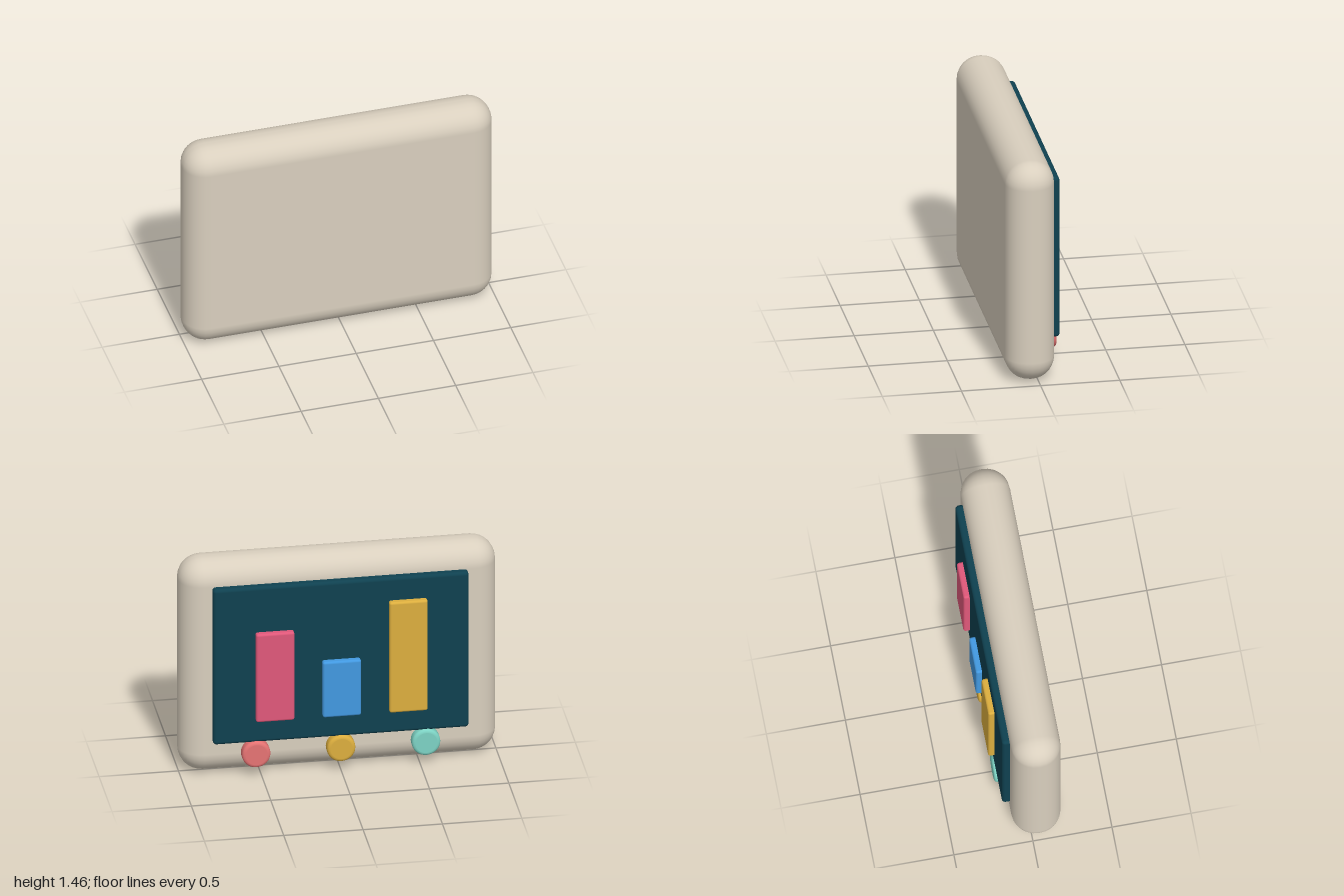
import * as THREE from 'three';
import { RoundedBoxGeometry } from 'three/addons/geometries/RoundedBoxGeometry.js';

const mat = (name, color) => {
  const m = new THREE.MeshStandardMaterial({ color });
  m.name = name;
  return m;
};

export function createModel() {
  const cream = mat('cream', 0xd9cfbe);
  const navy = mat('deepTeal', 0x0f4150);
  const pink = mat('pink', 0xe0587a);
  const blue = mat('blue', 0x4299e1);
  const yellow = mat('yellow', 0xdcae3e);
  const coral = mat('coral', 0xe57373);
  const mint = mat('mint', 0x7dd3c4);

  const group = new THREE.Group();
  group.name = 'chartPanel';

  // Rounded box given by its x, y and z limits
  const slab = (name, material, [x0, x1], [y0, y1], [z0, z1], radius, segments) => {
    const mesh = new THREE.Mesh(
      new RoundedBoxGeometry(x1 - x0, y1 - y0, z1 - z0, segments, radius), material);
    mesh.position.set((x0 + x1) / 2, (y0 + y1) / 2, (z0 + z1) / 2);
    mesh.name = name;
    group.add(mesh);
  };

  // Thick casing and the screen on its back
  slab('casing', cream, [-1, 1], [0, 1.46], [-0.11, 0.2], 0.15, 4);
  slab('screen', navy, [-0.805, 0.805], [0.235, 1.31], [-0.157, -0.09], 0.022, 3);

  // Chart bars standing on a common baseline
  [['pinkBar', pink, 0.42, 1.0], ['blueBar', blue, 0, 0.775], ['yellowBar', yellow, -0.42, 1.155]]
    .forEach(([name, material, x, top]) =>
      slab(name, material, [x - 0.121, x + 0.121], [0.39, top], [-0.196, -0.145], 0.015, 3));

  // Round knobs with softened rims, facing -z
  const r = 0.09, bevel = 0.02, depth = 0.09;
  const profile = [new THREE.Vector2(0, 0), new THREE.Vector2(r - bevel, 0)];
  for (let i = 0; i <= 4; i++) {
    const a = (i / 4) * Math.PI / 2;
    profile.push(new THREE.Vector2(
      r - bevel + bevel * Math.cos(a), depth - bevel + bevel * Math.sin(a)));
  }
  profile.splice(2, 0, new THREE.Vector2(r, bevel));
  profile.push(new THREE.Vector2(r - bevel - 0.002, depth), new THREE.Vector2(0, depth));
  const knob = new THREE.LatheGeometry(profile, 32).rotateX(-Math.PI / 2);
  [['coralKnob', coral, 0.535], ['yellowKnob', yellow, 0], ['mintKnob', mint, -0.535]]
    .forEach(([name, material, x]) => {
      const mesh = new THREE.Mesh(knob, material);
      mesh.position.set(x, 0.155, -0.082);
      mesh.name = name;
      group.add(mesh);
    });

  return group;
}
